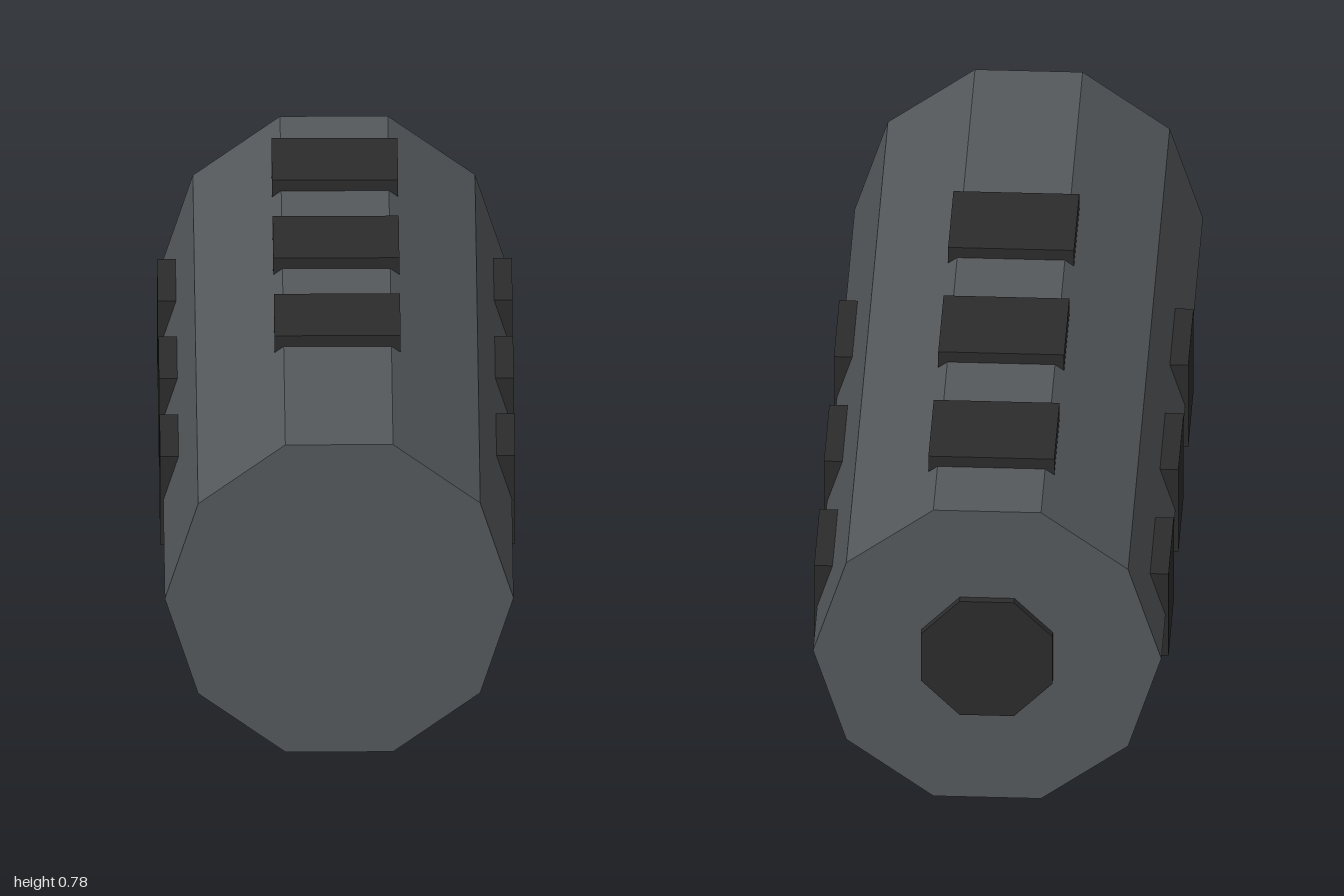
import * as THREE from 'three';

export function createModel() {
  const model = new THREE.Group();
  model.name = 'ribbedGrip';

  const greyMetal = new THREE.MeshStandardMaterial({ color: 0x55595c, flatShading: true });
  greyMetal.name = 'greyMetal';
  const blackRubber = new THREE.MeshStandardMaterial({ color: 0x2c2c2c, flatShading: true });
  blackRubber.name = 'blackRubber';

  const axisY = 0.378;

  // Adds one part at its position
  function add(name, geometry, material, x, y, z) {
    const mesh = new THREE.Mesh(geometry, material);
    mesh.name = name;
    mesh.position.set(x, y, z);
    model.add(mesh);
  }

  // Flat-sided prism lying along z
  function prism(radius, length, sides, start) {
    return new THREE.CylinderGeometry(radius, radius, length, sides, 1, false, start).rotateX(Math.PI / 2);
  }

  // Ten-sided body with a corner on each side
  add('body', prism(0.397, 1.98, 10, Math.PI / 2), greyMetal, 0, axisY, 0.01);

  // Eight-sided cap at the back
  add('backCap', prism(0.162, 0.04, 8, Math.PI / 8), blackRubber, 0, axisY, -0.98);

  // Three rows of grip pads: top, left and right
  const topPad = new THREE.BoxGeometry(0.287, 0.043, 0.253);
  const sidePad = new THREE.BoxGeometry(0.043, 0.216, 0.253);
  for (let i = 0; i < 3; i++) {
    const z = 0.281 - i * 0.469;
    add('topPad', topPad, blackRubber, 0, 0.7605, z);
    add('leftPad', sidePad, blackRubber, 0.3825, axisY, z);
    add('rightPad', sidePad, blackRubber, -0.3825, axisY, z);
  }

  return model;
}
